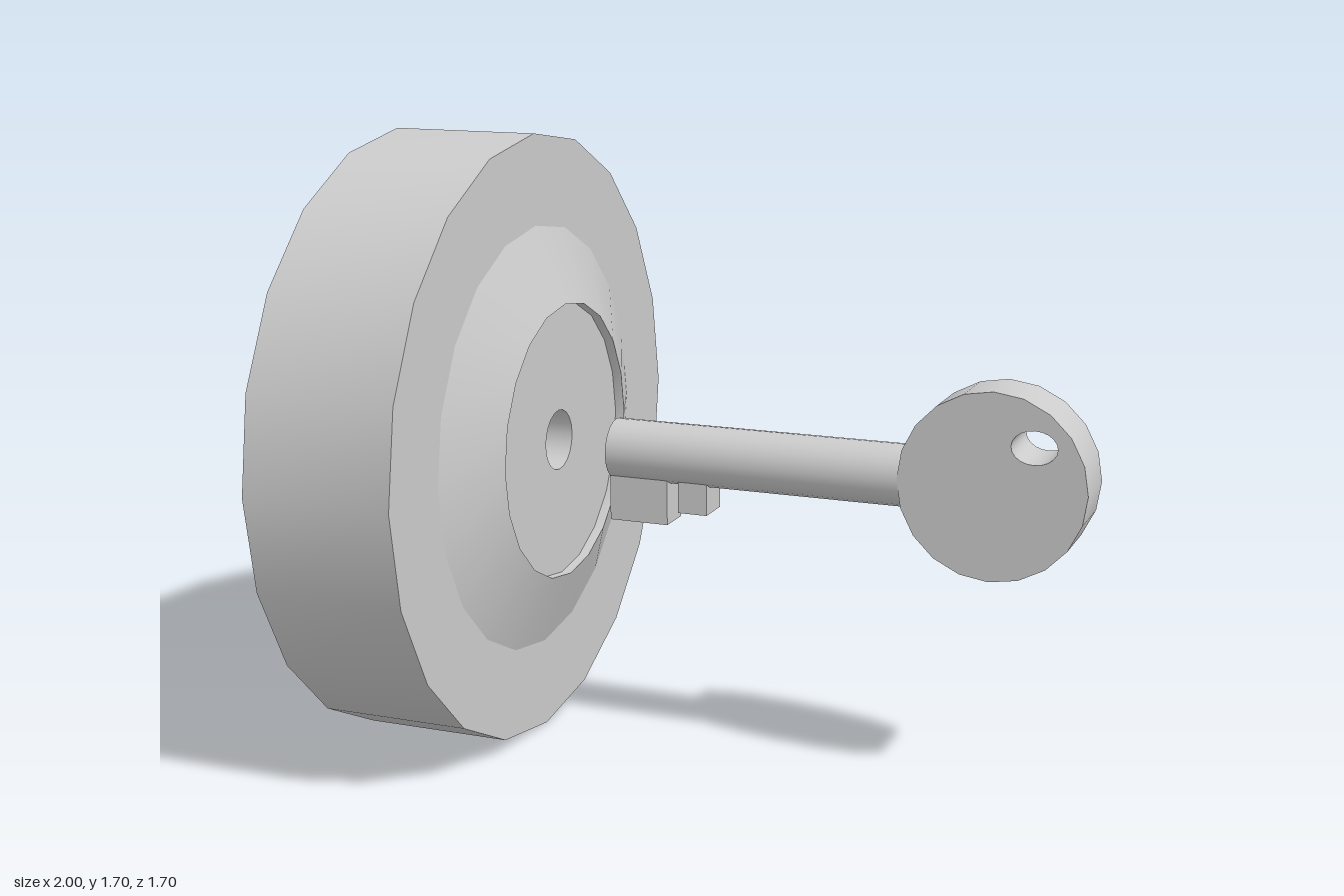
import * as THREE from 'three';
import { toCreasedNormals } from 'three/addons/utils/BufferGeometryUtils.js';

const SIDES = 20;
const CENTER_Y = 0.853;
const SHAFT_Y = 0.846;
const SHAFT_R = 0.084;

export function createModel() {
  const model = new THREE.Group();
  const material = new THREE.MeshStandardMaterial({ color: 0xcccccc });

  const add = (parent, name, geometry, x, y, z = 0) => {
    const mesh = new THREE.Mesh(geometry, material);
    mesh.name = name;
    mesh.position.set(x, y, z);
    parent.add(mesh);
    return mesh;
  };

  // Lock: round body, sloped collar, recessed face and blind keyhole, as [radius, x]
  const profile = [
    [0, -1], [0.852, -1], [0.852, -0.578], [0.6, -0.578], [0.388, -0.492],
    [0.388, -0.52], [0.085, -0.52], [0.085, -0.85], [0, -0.85],
  ].map(([r, x]) => new THREE.Vector2(r, x));
  const lock = new THREE.LatheGeometry(profile, SIDES).rotateZ(-Math.PI / 2);
  add(model, 'lockCylinder', toCreasedNormals(lock, 0.35), 0, CENTER_Y);

  const key = new THREE.Group();
  key.name = 'key';
  model.add(key);

  // Shaft runs from its tip into the bow
  const tip = -0.342, shaftEnd = 0.55;
  const shaft = new THREE.CylinderGeometry(SHAFT_R, SHAFT_R, shaftEnd - tip, SIDES).rotateZ(-Math.PI / 2);
  add(key, 'keyShaft', shaft, (tip + shaftEnd) / 2, SHAFT_Y);

  // Bow: thick disc with an oval hole for a ring
  const disc = new THREE.Shape().absarc(0, 0, 0.253, 0, Math.PI * 2, false);
  disc.holes.push(new THREE.Path().absellipse(0.11, 0.115, 0.061, 0.045, 0, Math.PI * 2, true));
  const bow = new THREE.ExtrudeGeometry(disc, {
    depth: SHAFT_R * 2, bevelEnabled: false, curveSegments: SIDES / 2,
  }).translate(0, 0, -SHAFT_R);
  add(key, 'keyBow', toCreasedNormals(bow, 0.7), 0.744, 0.856);

  // Teeth hang from the shaft: [left, right, bottom]
  [[-0.342, -0.172, 0.653], [-0.14, -0.056, 0.691]].forEach(([x0, x1, y0], i) => {
    const top = 0.82;
    add(key, `keyTooth${i + 1}`, new THREE.BoxGeometry(x1 - x0, top - y0, 0.1), (x0 + x1) / 2, (top + y0) / 2);
  });

  return model;
}
